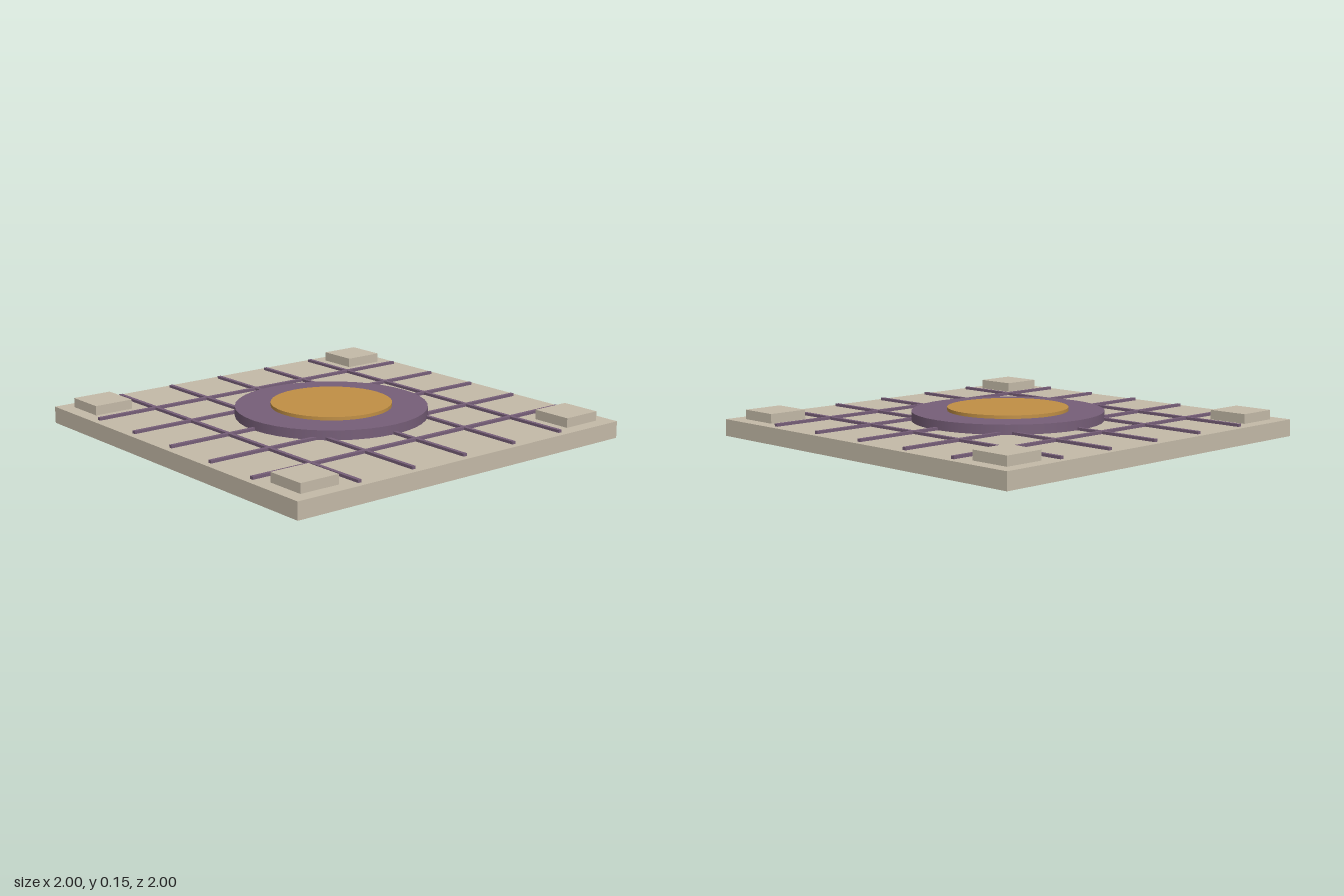
import * as THREE from 'three';

export function createModel() {
  const model = new THREE.Group();
  const stone = new THREE.MeshStandardMaterial({ color: 0xc4baa8 });
  stone.name = 'pale stone';
  const purple = new THREE.MeshStandardMaterial({ color: 0x765e78 });
  purple.name = 'dusty purple';
  const gold = new THREE.MeshStandardMaterial({ color: 0xc08f45 });
  gold.name = 'gold';

  // Place a part by its footprint centre and its bottom and top heights
  function add(name, geometry, material, x, z, bottom, top) {
    const mesh = new THREE.Mesh(geometry, material);
    mesh.name = name;
    mesh.position.set(x, (bottom + top) / 2, z);
    model.add(mesh);
  }
  function box(name, material, w, d, x, z, bottom, top) {
    add(name, new THREE.BoxGeometry(w, top - bottom, d), material, x, z, bottom, top);
  }
  function disc(name, material, radius, bottom, top) {
    add(name, new THREE.CylinderGeometry(radius, radius, top - bottom, 40), material, 0, 0, bottom, top);
  }

  // Square floor slab
  const slabTop = 0.085;
  box('floorSlab', stone, 2, 2, 0, 0, 0, slabTop);

  // Grid of inlaid strips, five each way; the cross strips sit a hair lower
  for (let i = -2; i <= 2; i++) {
    const p = i * 0.315;
    box('lengthStrip', purple, 0.02, 1.93, p, 0, slabTop - 0.005, 0.099);
    box('crossStrip', purple, 1.93, 0.02, 0, p, slabTop - 0.005, 0.0985);
  }

  // Raised corner blocks
  for (const sx of [-1, 1]) {
    for (const sz of [-1, 1]) {
      box('cornerBlock', stone, 0.21, 0.21, sx * 0.823, sz * 0.823, slabTop, 0.133);
    }
  }

  // Stepped central dais
  disc('daisBase', purple, 0.483, slabTop, 0.133);
  disc('daisTop', gold, 0.304, 0.13, 0.15);

  return model;
}
